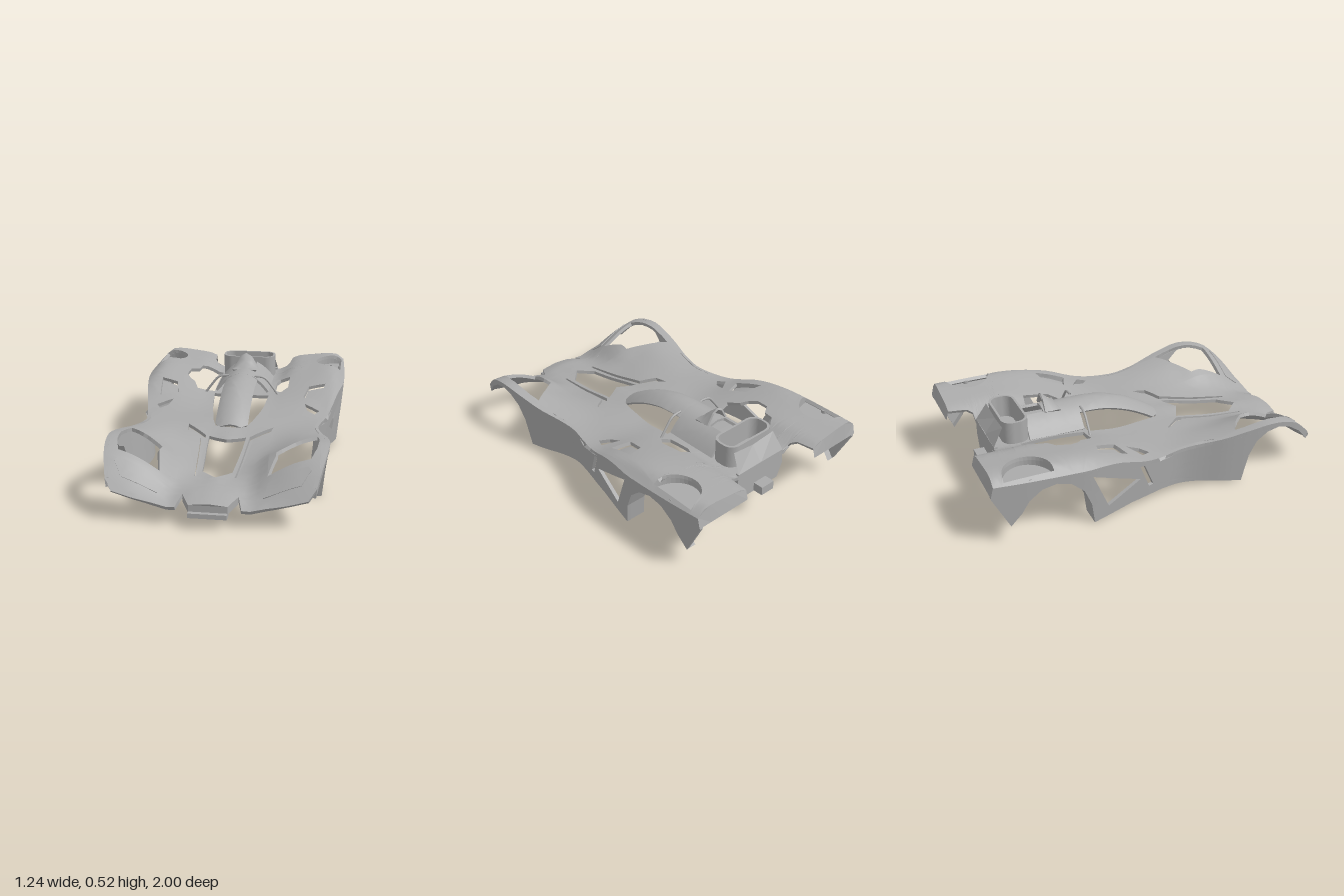
import * as THREE from 'three';

const grey = new THREE.MeshStandardMaterial({ color: 0xaaaaaa, side: THREE.DoubleSide });
grey.name = 'bodyGrey';

// Smooth curve through (keys, vals), keys ascending
function curve(keys, vals, t) {
  const n = keys.length - 1;
  t = Math.min(Math.max(t, keys[0]), keys[n]);
  let i = 0;
  while (i < n - 1 && t > keys[i + 1]) i++;
  const slope = k => {
    const a = Math.max(k - 1, 0), b = Math.min(k + 1, n);
    return (vals[b] - vals[a]) / (keys[b] - keys[a]);
  };
  const h = keys[i + 1] - keys[i], s = (t - keys[i]) / h, s2 = s * s, s3 = s2 * s;
  return (2 * s3 - 3 * s2 + 1) * vals[i] + (s3 - 2 * s2 + s) * h * slope(i)
    + (3 * s2 - 2 * s3) * vals[i + 1] + (s3 - s2) * h * slope(i + 1);
}

// Deck height: one row of heights per station z, columns across |x|
const COLS = [0, 0.1, 0.2, 0.28, 0.4, 0.5, 0.56, 0.62];
const STATIONS = [
  [-1.0, [.33, .33, .335, .385, .405, .415, .41, .36]],
  [-0.7, [.33, .33, .335, .385, .405, .418, .412, .365]],
  [-0.5, [.33, .33, .335, .365, .39, .405, .40, .36]],
  [-0.3, [.31, .31, .315, .33, .35, .358, .355, .33]],
  [-0.1, [.28, .28, .28, .285, .29, .285, .28, .26]],
  [0.1, [.27, .27, .27, .27, .272, .275, .265, .26]],
  [0.3, [.25, .24, .25, .26, .285, .295, .29, .285]],
  [0.5, [.22, .20, .22, .255, .31, .335, .337, .33]],
  [0.65, [.19, .18, .21, .27, .33, .357, .36, .355]],
  [0.8, [.175, .165, .17, .225, .29, .32, .325, .325]],
  [0.9, [.16, .15, .13, .16, .21, .235, .245, .25]],
  [1.0, [.12, .11, .09, .10, .10, .12, .13, .13]],
];
const ZS = STATIONS.map(s => s[0]);
const height = (x, z) => curve(ZS, STATIONS.map(s => curve(COLS, s[1], Math.abs(x))), z);

// Outer edge of the body in plan
const EDGE_Z = [-1, -.75, -.5, -.38, -.2, 0, .13, .25, .4, .55, .65, .8, .92];
const EDGE_X = [.6, .615, .62, .605, .57, .525, .5, .515, .555, .58, .587, .572, .54];
const edge = z => curve(EDGE_Z, EDGE_X, z);
const edgeTop = z => height(edge(z), z);

function buildGeometry(pos, nor) {
  const g = new THREE.BufferGeometry();
  g.setAttribute('position', new THREE.Float32BufferAttribute(pos, 3));
  if (nor) g.setAttribute('normal', new THREE.Float32BufferAttribute(nor, 3));
  else g.computeVertexNormals();
  return g;
}

// Flat outline with holes, subdivided, bent by map(u, v) and given thickness t
function panel(outline, holes, map, t = 0.02, max = 0.055) {
  const vec = list => list.map(p => new THREE.Vector2(p[0], p[1]));
  const shape = new THREE.Shape(vec(outline));
  holes.forEach(h => shape.holes.push(new THREE.Path(vec(h))));
  const flat = new THREE.ShapeGeometry(shape), p = flat.attributes.position, ix = flat.index.array;
  const stack = [], keys = new Map(), verts = [], tris = [];
  for (let i = 0; i < ix.length; i += 3) stack.push([0, 1, 2].map(k => [p.getX(ix[i + k]), p.getY(ix[i + k])]));
  const id = q => {
    const k = q.map(c => Math.round(c * 1e5)).join();
    if (!keys.has(k)) { keys.set(k, verts.length); verts.push(new THREE.Vector3(...map(q[0], q[1]))); }
    return keys.get(k);
  };
  while (stack.length) {
    const tri = stack.pop();
    const len = [0, 1, 2].map(k => Math.hypot(tri[k][0] - tri[(k + 1) % 3][0], tri[k][1] - tri[(k + 1) % 3][1]));
    const k = len.indexOf(Math.max(...len));
    if (len[k] <= max) { tris.push(tri.map(id)); continue; }
    const a = tri[k], b = tri[(k + 1) % 3], c = tri[(k + 2) % 3], m = [(a[0] + b[0]) / 2, (a[1] + b[1]) / 2];
    stack.push([a, m, c], [m, b, c]);
  }
  const normals = verts.map(() => new THREE.Vector3()), edges = new Set();
  const faceNormal = (a, b, c) => b.clone().sub(a).cross(c.clone().sub(a));
  for (const f of tris) {
    const n = faceNormal(...f.map(i => verts[i]));
    f.forEach((i, k) => { normals[i].add(n); edges.add(i + '_' + f[(k + 1) % 3]); });
  }
  normals.forEach(n => n.normalize());
  const inner = verts.map((v, i) => v.clone().addScaledVector(normals[i], -t));
  const pos = [], nor = [];
  const put = (v, n) => { pos.push(v.x, v.y, v.z); nor.push(n.x, n.y, n.z); };
  for (const [a, b, c] of tris) {
    [a, b, c].forEach(i => put(verts[i], normals[i]));
    [a, c, b].forEach(i => put(inner[i], normals[i].clone().negate()));
  }
  for (const e of edges) {
    const [a, b] = e.split('_').map(Number);
    if (edges.has(b + '_' + a)) continue;
    const n = faceNormal(verts[b], verts[a], inner[a]).normalize();
    [verts[b], verts[a], inner[a], verts[b], inner[a], inner[b]].forEach(v => put(v, n));
  }
  return buildGeometry(pos, nor);
}
// Panel drawn in plan as [x, z] points, lying at y(x, z)
const flip = list => list.map(([x, z]) => [x, -z]);
const planPanel = (outline, holes, y, t) =>
  panel(flip(outline), holes.map(flip), (u, v) => [u, y(u, -v), -v], t);

// Strip between two rows of points
function ribbon(a, b) {
  const pos = [];
  for (let i = 0; i < a.length - 1; i++) pos.push(...a[i], ...a[i + 1], ...b[i], ...a[i + 1], ...b[i + 1], ...b[i]);
  return buildGeometry(pos);
}
function mirrored(geo) {
  const g = geo.index ? geo.toNonIndexed() : geo.clone();
  for (const name of ['position', 'normal']) {
    const a = g.attributes[name].array;
    for (let i = 0; i < a.length; i += 9) {
      for (let k = 0; k < 9; k += 3) a[i + k] *= -1;
      for (let k = 0; k < 3; k++) [a[i + k], a[i + 3 + k]] = [a[i + 3 + k], a[i + k]];
    }
  }
  return g;
}
const mirrorPts = list => list.map(([x, z]) => [-x, z]);
const symmetric = half => [...half, ...mirrorPts(half).reverse()];

export function createModel() {
  const car = new THREE.Group();
  car.name = 'carBodyShell';
  const add = (name, geo) => {
    const m = new THREE.Mesh(geo, grey);
    m.name = name;
    car.add(m);
    return m;
  };
  const pair = (name, geo) => { add(name + 'Left', geo); add(name + 'Right', mirrored(geo)); };

  // Openings in the deck
  const wheelHole = [[.51, .44], [.4, .52], [.305, .6], [.31, .66], [.28, .8], [.5, .785], [.525, .7], [.53, .6], [.522, .5]];
  const vent = [[.41, -.35], [.51, -.375], [.49, -.2], [.385, -.235]];
  const slot = [[.4, -.17], [.49, -.11], [.465, -.06], [.42, -.1]];
  const channel = [[.245, .16], [.235, .24], [.15, .3], [.112, .72], [.1, .72], [.125, .28]];
  const disc = Array.from({ length: 21 }, (_, i) => {
    const a = Math.PI * (0.5 + i / 20);
    return [.59 + .16 * Math.cos(a), -.79 + .135 * Math.sin(a)];
  });
  const noseHole = symmetric([[0.105, .285], [.1, .4], [.08, .66], [.002, .74]]);
  noseHole.push([0, .34]);
  const cockpit = symmetric([[.168, -.3], [.155, -.15], [.115, .08], [.09, .16], [.02, .18]]);
  const sideBreak = [[-.23, -.7], [-.172, -.7], [-.172, -.33], [-.28, -.325], [-.31, -.4], [-.345, -.43], [-.37, -.48],
    [-.36, -.56], [-.31, -.59], [-.3, -.65], [-.27, -.67]];
  const sideScoop = [[.2, -.5], [.22, -.54], [.28, -.53], [.28, -.38], [.24, -.33], [.2, -.36]];

  // Upper deck: nose, fenders and tail in one skin
  const half = [[.23, -.85], [.25, -.88], [.26, -.985]];
  for (let i = 0; i <= 40; i++) {
    const z = -.985 + i * (.92 + .985) / 40;
    half.push([edge(z), z]);
  }
  const noseEdge = [[.145, .89], [.125, .93], [.1, .975]];
  half.push([.5, .96], [.17, .975], ...noseEdge);
  const both = [wheelHole, vent, slot, channel, disc];
  add('upperDeck', planPanel(symmetric(half),
    [...both, ...both.map(mirrorPts), noseHole, cockpit, sideBreak, sideScoop], height));

  // Floors of the sunken details, and the headlamp plates
  const below = d => (x, z) => height(x, z) - d;
  pair('ventFloor', planPanel(vent, [], (x, z) => height(x, z) - .025 - .05 * (z + .375), .006));
  pair('noseChannelFloor', planPanel(channel, [], below(.022), .006));
  pair('roundRecessFloor', planPanel(disc, [], () => .362, .01));
  pair('roundRecessWall', ribbon(disc.map(([x, z]) => [x, height(x, z), z]), disc.map(([x, z]) => [x, .36, z])));
  pair('headlamp', planPanel([[.27, .915], [.29, .845], [.49, .83], [.505, .85], [.46, .905]], [], below(-.005), .006));
  const peg = new THREE.CylinderGeometry(.017, .017, .03, 16);
  peg.translate(.588, .365, -.79);
  pair('recessPeg', peg);

  // Side walls with wheel arches and cut-outs, as [z, y]
  const frontArch = [[.92, .17], [.85, .25], [.77, .305], [.69, .327], [.62, .312], [.56, .26], [.52, .17], [.49, 0]];
  const rearArch = [[-.435, 0], [-.455, .13], [-.5, .235], [-.57, .3], [-.65, .325], [-.73, .308], [-.8, .25], [-.84, .18], [-.9, .11]];
  const wallX = (z, y) => edge(z) - .08 * (edgeTop(z) - y);
  const wall = [...frontArch, [.25, .03], [0, .05], [-.2, .04], ...rearArch, [-1, .31]];
  for (let i = 0; i <= 40; i++) {
    const z = -.985 + i * (.92 + .985) / 40;
    wall.push([z, edgeTop(z)]);
  }
  const sideHoles = [
    [[-.15, .18], [-.45, .31], [-.35, .08]],
    [[-.06, .11], [-.09, .11], [-.155, .262], [-.125, .258]],
  ];
  const turn = list => list.map(([z, y]) => [-z, y]);
  pair('sideWall', panel(turn(wall), sideHoles.map(turn), (u, v) => [wallX(-u, v), v, -u]));

  // Inward lips of the wheel arches and the tail flaps
  const lip = (pts, w) => ribbon(pts.map(([z, y]) => [wallX(z, y), y, z]), pts.map(([z, y]) => [wallX(z, y) - w, y, z]));
  pair('frontArchLip', lip(frontArch.slice(5), .045));
  pair('rearArchLip', lip(rearArch.slice(0, 6), .12));
  pair('tailArchLip', lip(rearArch.slice(5), .06));
  const tailX = [.26, .35, .45, .52, .6];
  pair('tailFlap', ribbon(tailX.map(x => [x, height(x, -.985), -.985]), tailX.map(x => [x, .32, -1])));

  // Canopy band and engine cover
  const ridge = z => curve([-.65, -.43, -.18, -.02, .1, .19], [.445, .442, .435, .39, .33, .272], z);
  add('canopyBand', planPanel(symmetric([[.095, -.33], [.095, .14], [.06, .18]]), [],
    (x, z) => ridge(z) - .04 * (x / .095) ** 2, .015));
  add('engineCover', planPanel([[-.165, -.32], [.165, -.32], [.165, -.64], [.055, -.64], [.055, -.52], [-.055, -.52], [-.055, -.64], [-.165, -.64]],
    [], (x, z) => ridge(z) - .11 * (x / .165) ** 2, .015));
  const hoop = new THREE.CatmullRomCurve3([[.08, .43, -.31], [.14, .42, -.31], [.185, .37, -.31], [.225, .315, -.31]]
    .map(p => new THREE.Vector3(...p)));
  pair('cockpitHoop', new THREE.TubeGeometry(hoop, 12, .007, 8));

  // Air intake above the cover
  const rise = (x, z) => .435 + .085 * (1 - (x / .075) ** 2) * Math.min(1, (-z - .425) / .085);
  add('airIntake', planPanel([[-.075, -.425], [.075, -.425], [.075, -.515], [-.075, -.515]], [], rise, .012));

  // Engine tub: rounded rim, sloping tail and back plate
  const rounded = (P, w, z0, z1, r) => {
    const s = new P();
    s.absarc(w - r, z1 - r, r, 0, Math.PI / 2);
    s.absarc(-w + r, z1 - r, r, Math.PI / 2, Math.PI);
    s.absarc(-w + r, z0 + r, r, Math.PI, Math.PI * 1.5);
    s.absarc(w - r, z0 + r, r, Math.PI * 1.5, Math.PI * 2);
    s.closePath();
    return s;
  };
  const rim = rounded(THREE.Shape, .165, .635, .785, .06);
  rim.holes.push(rounded(THREE.Path, .152, .648, .772, .05));
  const tub = new THREE.ExtrudeGeometry(rim, { depth: .13, bevelEnabled: false, curveSegments: 8 });
  tub.rotateX(-Math.PI / 2).translate(0, .333, 0);
  add('engineTub', tub);
  add('engineTailSlope', ribbon([[-.17, .34, -.85], [0, .335, -.85], [.17, .34, -.85]], [[-.15, .44, -.79], [0, .42, -.785], [.15, .44, -.79]]));
  add('backPlate', panel([[-.17, .34], [-.175, .25], [-.14, .17], [.14, .17], [.175, .25], [.17, .34]], [], (u, v) => [u, v, -.83]));
  const box = (name, w, h, d, x, y, z) => add(name, new THREE.BoxGeometry(w, h, d)).position.set(x, y, z);
  box('rearPeg', .09, .05, .06, 0, .2, -.88);

  // Nose tip with its front and side faces
  box('noseTip', .2, .025, .06, 0, .0725, .97);
  const noseTop = symmetric(noseEdge).map(([x, z]) => [x, height(x, z), z]);
  add('noseSkirt', ribbon(noseTop, noseTop.map(([x, y, z]) => [x, y - .04, z])));
  return car;
}
